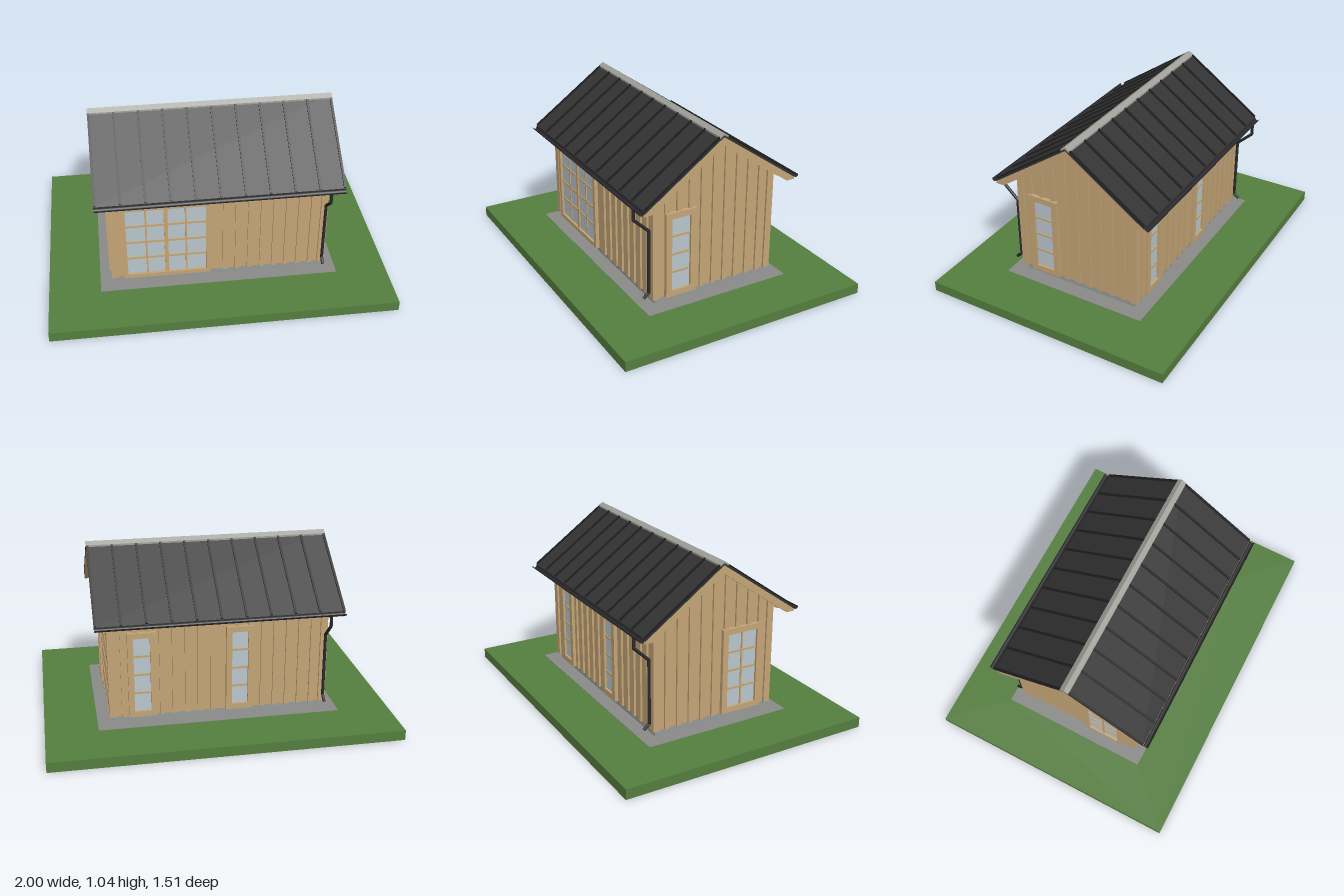
import * as THREE from 'three';

const mat = (name, color, side = THREE.FrontSide) => {
  const m = new THREE.MeshStandardMaterial({ color, side });
  m.name = name;
  return m;
};

export function createModel() {
  const grass = mat('grass', 0x557e3f);
  const gravel = mat('gravel', 0x8a8a88);
  const concrete = mat('concrete', 0x969a9a);
  const wood = mat('timber cladding', 0xc4a576);
  const frameWood = mat('frame timber', 0xc9a46c);
  const glass = mat('glass', 0xbac7ce);
  const metal = mat('roof metal', 0x333333);
  const seamMetal = mat('seam metal', 0x1f1f1f);
  const gutterMetal = mat('gutter metal', 0x2a2a2e, THREE.DoubleSide);
  const ridgeMetal = mat('ridge metal', 0xa2a29c);

  const house = new THREE.Group();
  house.name = 'gardenHouse';
  const add = (parent, name, geo, material, x = 0, y = 0, z = 0) => {
    const m = new THREE.Mesh(geo, material);
    m.name = name;
    m.position.set(x, y, z);
    parent.add(m);
    return m;
  };
  const box = (parent, name, material, w, h, d, x, y, z) =>
    add(parent, name, new THREE.BoxGeometry(w, h, d), material, x, y, z);

  // Rectangular ring with half sizes, from y0 to y1
  const ring = (name, material, hx, hz, ix, iz, y0, y1) => {
    const rect = (P, a, b) => new P([[-a, -b], [a, -b], [a, b], [-a, b]].map(p => new THREE.Vector2(...p)));
    const s = rect(THREE.Shape, hx, hz);
    s.holes.push(rect(THREE.Path, ix, iz));
    const g = new THREE.ExtrudeGeometry(s, { depth: y1 - y0, bevelEnabled: false });
    g.rotateX(-Math.PI / 2);
    add(house, name, g, material, 0, y0, 0);
  };
  ring('lawn', grass, 1, 0.755, 0.7, 0.45, 0, 0.06);
  ring('gravelBed', gravel, 0.7, 0.45, 0.61, 0.365, 0, 0.062);
  ring('foundation', concrete, 0.61, 0.365, 0.55, 0.3, 0, 0.1);
  box(house, 'floorSlab', concrete, 1.1, 0.08, 0.6, 0, 0.06, 0);

  // Mirrored (z, y) half profile, extruded along x and centred on x
  const gable = (name, material, half, length, x = 0, dy = 0) => {
    const mirrored = half.filter(p => p[0] > 0).map(([z, y]) => [-z, y]);
    const top = half[0], bottom = half[half.length - 1];
    const pts = bottom[0] === 0 ? [...half, ...mirrored.reverse()] : [top, ...half.slice(1), ...mirrored.reverse()];
    const s = new THREE.Shape(pts.map(([z, y]) => new THREE.Vector2(z, y)));
    const g = new THREE.ExtrudeGeometry(s, { depth: length, bevelEnabled: false });
    g.translate(0, 0, -length / 2);
    g.rotateY(Math.PI / 2);
    return add(house, name, g, material, x, dy, 0);
  };
  const SLOPE = 0.7;
  const layer = (name, material, zEnd, apex, thick, length) => gable(name, material,
    [[0, apex], [zEnd, apex - SLOPE * zEnd], [zEnd, apex - thick - SLOPE * zEnd], [0, apex - thick]], length);

  // Walls
  const HX = 0.62, HZ = 0.375, BASE = 0.1;
  gable('wallCore', wood, [[0, 1.0], [HZ, 1.0 - SLOPE * HZ], [HZ, BASE]], HX * 2);

  // Glazed door or window; panels sit side by side, each with cols x rows panes
  const glazing = (wall, name, x0, x1, panels, cols, rows, bar) => {
    const g = new THREE.Group();
    g.name = name;
    wall.add(g);
    const y0 = BASE, y1 = 0.612, w = x1 - x0, h = y1 - y0, cx = (x0 + x1) / 2, cy = (y0 + y1) / 2;
    box(g, 'glassPane', glass, w - bar, h - bar, 0.006, cx, cy, 0.005);
    for (const x of [x0 + bar / 2, x1 - bar / 2]) box(g, 'frameSide', wood, bar, h, 0.022, x, cy, 0.011);
    for (const y of [y0 + bar / 2, y1 - bar / 2]) box(g, 'frameRail', wood, w - 2 * bar, bar, 0.022, cx, y, 0.011);
    const gw = w - 2 * bar, gh = h - 2 * bar;
    for (let i = 1; i < panels * cols; i++) {
      const stile = i % cols === 0;
      box(g, stile ? 'stile' : 'verticalBar', frameWood, stile ? 0.022 : 0.01, gh, stile ? 0.018 : 0.012,
        x0 + bar + gw * i / (panels * cols), cy, 0.008);
    }
    for (let j = 1; j < rows; j++)
      box(g, 'crossBar', frameWood, gw, 0.011, 0.012, cx, y0 + bar + gh * j / rows, 0.0075);
  };

  // One clad side: battens between corner boards, cut short above openings
  const side = (name, rotY, dist, half, topAt, openings) => {
    const wall = new THREE.Group();
    wall.name = name;
    wall.rotation.y = rotY;
    wall.position.set(Math.sin(rotY) * dist, 0, Math.cos(rotY) * dist);
    house.add(wall);
    const strip = (label, x, w, y0) => {
      const y1 = topAt(Math.abs(x) + w / 2);
      box(wall, label, wood, w, y1 - y0, 0.012, x, (y0 + y1) / 2, 0.006);
    };
    for (const s of [-1, 1]) strip('cornerBoard', s * (half - 0.008), 0.04, BASE);
    const n = Math.round(half * 2 / 0.072);
    for (let i = 1; i < n; i++) {
      const x = -half + i * half * 2 / n;
      const open = openings.some(o => x > o[1] - 0.014 && x < o[2] + 0.014);
      strip('batten', x, 0.027, open ? 0.612 : BASE);
    }
    for (const o of openings) glazing(wall, ...o);
  };
  const eaveTop = () => 0.725;
  const gableTop = d => 1.0 - SLOPE * d;
  side('frontWall', 0, HZ, HX, eaveTop, [['slidingDoor', -0.56, -0.05, 2, 2, 4, 0.026]]);
  side('backWall', Math.PI, HZ, HX, eaveTop,
    [['backWindow', -0.52, -0.36, 1, 1, 4, 0.033], ['backWindow', 0.04, 0.2, 1, 1, 4, 0.033]]);
  side('leftWall', Math.PI / 2, HX, HZ, gableTop, [['sideDoor', -0.31, -0.12, 1, 1, 4, 0.036]]);
  side('rightWall', -Math.PI / 2, HX, HZ, gableTop, [['sideWindow', 0.05, 0.31, 1, 2, 4, 0.034]]);

  // Barge boards and rafters share a profile
  const rafter = [[0, 1.014], [0.478, 0.68], [0.478, 0.666], [0.428, 0.666], [0, 0.966]];
  for (const x of [-0.689, 0.689]) gable('bargeBoard', wood, rafter, 0.022, x);
  for (let i = -6; i <= 6; i++) gable('rafter', wood, rafter, 0.02, i * 0.1, -0.006);

  // Roof covering with standing seams and ridge cap
  layer('roofDeck', wood, 0.476, 1.013, 0.016, 1.39);
  layer('roofSheet', metal, 0.474, 1.026, 0.013, 1.404);
  layer('ridgeCap', ridgeMetal, 0.026, 1.036, 0.012, 1.406);
  const angle = Math.atan(SLOPE), seamLength = 0.45 / Math.cos(angle);
  for (const s of [-1, 1])
    for (let i = -5; i <= 5; i++) {
      const seam = box(house, 'roofSeam', seamMetal, 0.013, 0.012, seamLength,
        i * 0.139, 1.028 - SLOPE * 0.247, s * 0.247);
      seam.rotation.x = s * angle;
    }

  // Gutters and downpipes, turned half way round for the back
  for (const turn of [0, Math.PI]) {
    const drain = new THREE.Group();
    drain.name = 'rainDrain';
    drain.rotation.y = turn;
    house.add(drain);
    const trough = new THREE.CylinderGeometry(0.015, 0.015, 1.4, 12, 1, true, Math.PI / 2, Math.PI);
    trough.rotateY(Math.PI / 2);
    trough.rotateZ(Math.PI / 2);
    // keep the open side upward
    trough.computeBoundingBox();
    if (trough.boundingBox.max.y > 0.01) trough.rotateX(trough.boundingBox.min.y < -0.01 ? Math.PI / 2 : Math.PI);
    trough.computeBoundingBox();
    if (trough.boundingBox.max.y > 0.01) trough.rotateX(Math.PI);
    add(drain, 'gutter', trough, gutterMetal, 0, 0.689, 0.491);
    const path = [[0.675, 0.495], [0.617, 0.495], [0.53, 0.404], [0.152, 0.404], [0.122, 0.438]]
      .map(([y, z]) => new THREE.Vector3(0.615, y, z));
    for (let i = 1; i < path.length; i++) {
      const a = path[i - 1], b = path[i], dir = b.clone().sub(a);
      const pipe = add(drain, 'downpipe', new THREE.CylinderGeometry(0.009, 0.009, dir.length(), 12), gutterMetal);
      pipe.position.copy(a).add(b).multiplyScalar(0.5);
      pipe.quaternion.setFromUnitVectors(new THREE.Vector3(0, 1, 0), dir.normalize());
      if (i < path.length - 1) add(drain, 'pipeBend', new THREE.SphereGeometry(0.009, 12, 8), gutterMetal, b.x, b.y, b.z);
    }
  }
  return house;
}
